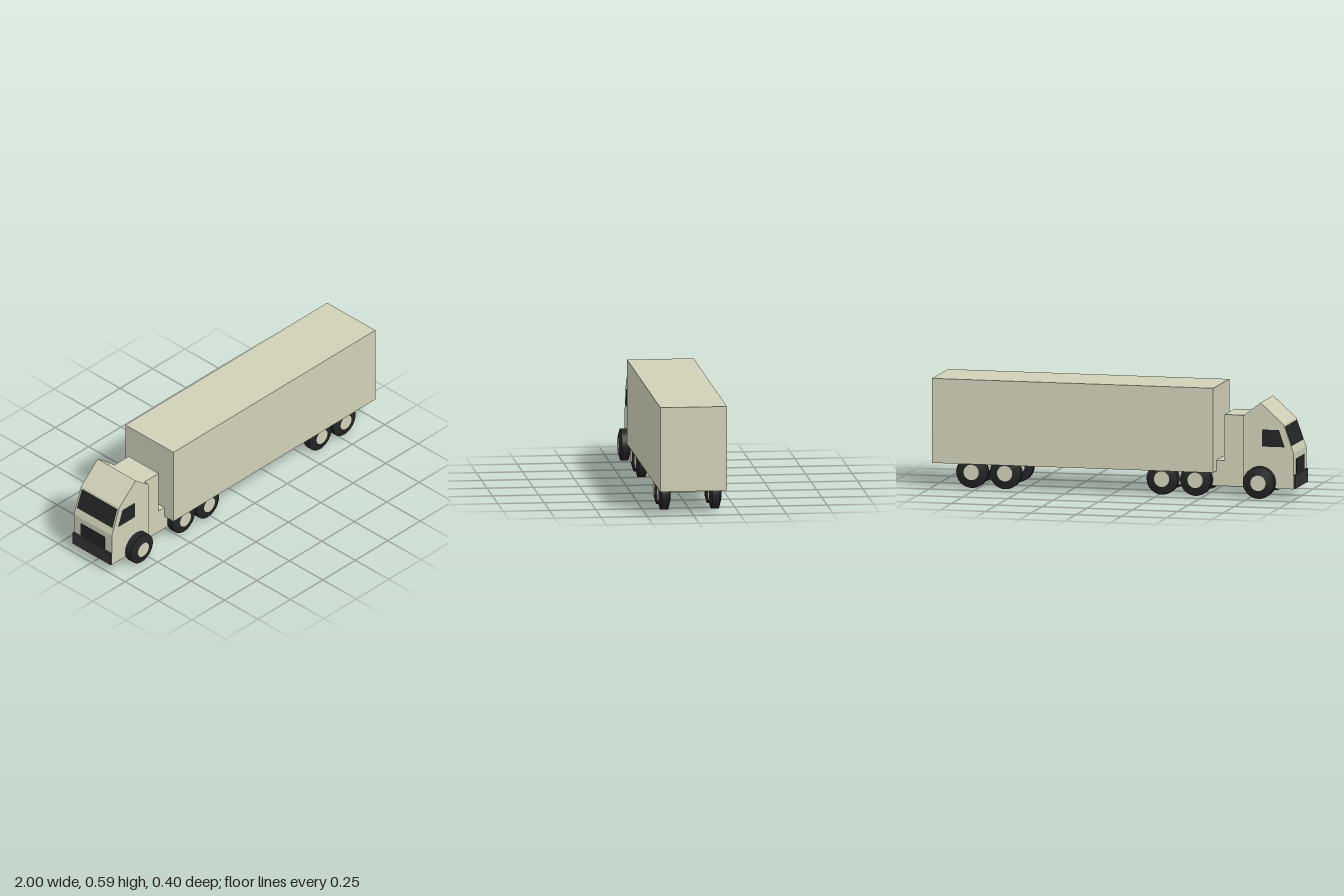
import * as THREE from 'three';
import { toCreasedNormals } from 'three/addons/utils/BufferGeometryUtils.js';

const paint = new THREE.MeshStandardMaterial({ color: 0xd0d0b8 });
const panel = new THREE.MeshStandardMaterial({ color: 0xd0d0b8, side: THREE.DoubleSide });
const dark = new THREE.MeshStandardMaterial({ color: 0x242424 });
const rubber = new THREE.MeshStandardMaterial({ color: 0x242424 });
const bumperGrey = new THREE.MeshStandardMaterial({ color: 0x333333 });

const CAB_HALF = 0.142;

export function createModel() {
  const truck = new THREE.Group();
  truck.name = 'truck';

  const add = (name, geometry, material, parent = truck) => {
    const mesh = new THREE.Mesh(geometry, material);
    mesh.name = name;
    parent.add(mesh);
    return mesh;
  };

  // Box given by its x and y limits and its half width in z
  const box = (name, x0, x1, y0, y1, halfZ, material) => {
    const mesh = add(name, new THREE.BoxGeometry(x1 - x0, y1 - y0, halfZ * 2), material);
    mesh.position.set((x0 + x1) / 2, (y0 + y1) / 2, 0);
    return mesh;
  };

  const shape = (points) => new THREE.Shape(points.map(([x, y]) => new THREE.Vector2(x, y)));

  // Side profile extruded across the width, centred on z = 0
  const extrude = (name, points, halfZ, material) => {
    const geometry = new THREE.ExtrudeGeometry(shape(points), { depth: halfZ * 2, bevelEnabled: false });
    geometry.translate(0, 0, -halfZ);
    return add(name, geometry, material);
  };

  // Trailer, chassis and the narrower section behind the cab
  box('trailerBody', -0.555, 1, 0.132, 0.59, 0.18, paint);
  box('chassis', -0.6, -0.26, 0.052, 0.19, 0.112, paint);
  box('sleeper', -0.71, -0.6, 0.052, 0.44, 0.112, paint);

  // Cab
  extrude('cab', [[-0.99, 0.052], [-0.71, 0.052], [-0.71, 0.44], [-0.935, 0.4], [-0.99, 0.245]], CAB_HALF, paint);

  // Roof deflector: sloping front sheet and two triangular sides, open at the rear
  const deflector = new THREE.Group();
  deflector.name = 'roofDeflector';
  truck.add(deflector);
  const run = 0.128, rise = 0.115;
  const sheet = add('deflectorFront', new THREE.PlaneGeometry(Math.hypot(run, rise), CAB_HALF * 2), panel, deflector);
  sheet.geometry.rotateX(-Math.PI / 2);
  sheet.rotation.z = Math.atan2(rise, run);
  sheet.position.set(-0.935 + run / 2, 0.4 + rise / 2, 0);
  for (const side of [1, -1]) {
    const gusset = add('deflectorSide', new THREE.ShapeGeometry(shape([[-0.935, 0.4], [-0.71, 0.44], [-0.807, 0.515]])), panel, deflector);
    gusset.position.z = side * CAB_HALF;
  }

  // Bumper, grille and glazing
  box('bumper', -1, -0.988, 0.055, 0.128, CAB_HALF, bumperGrey);
  box('grille', -0.992, -0.985, 0.13, 0.21, 0.09, dark);
  extrude('windshield', [[-0.978, 0.285], [-0.95, 0.285], [-0.93, 0.388], [-0.9415, 0.388]], 0.131, dark);
  extrude('sideWindows', [[-0.941, 0.278], [-0.815, 0.278], [-0.815, 0.37], [-0.909, 0.37]], CAB_HALF + 0.0012, dark);

  // Wheels: tyre with tapered sidewalls around a plain hub
  const radius = 0.086, hubRadius = 0.042, half = 0.033, tread = 0.02;
  const tyre = toCreasedNormals(new THREE.LatheGeometry([
    new THREE.Vector2(hubRadius, -half),
    new THREE.Vector2(radius, -tread),
    new THREE.Vector2(radius, tread),
    new THREE.Vector2(hubRadius, half),
  ], 32), 0.6);
  const hub = new THREE.CylinderGeometry(hubRadius, hubRadius, half * 2, 32);
  for (const geometry of [tyre, hub]) geometry.rotateX(Math.PI / 2);

  const axles = [
    ['frontWheel', -0.807, 0.167],
    ['driveWheel', -0.452, 0.137],
    ['driveWheel', -0.267, 0.137],
    ['trailerWheel', 0.6, 0.137],
    ['trailerWheel', 0.785, 0.137],
  ];
  for (const [name, x, z] of axles) {
    for (const side of [1, -1]) {
      const wheel = new THREE.Group();
      wheel.name = name;
      wheel.position.set(x, radius, side * z);
      add('tyre', tyre, rubber, wheel);
      add('hub', hub, paint, wheel);
      truck.add(wheel);
    }
  }

  return truck;
}
